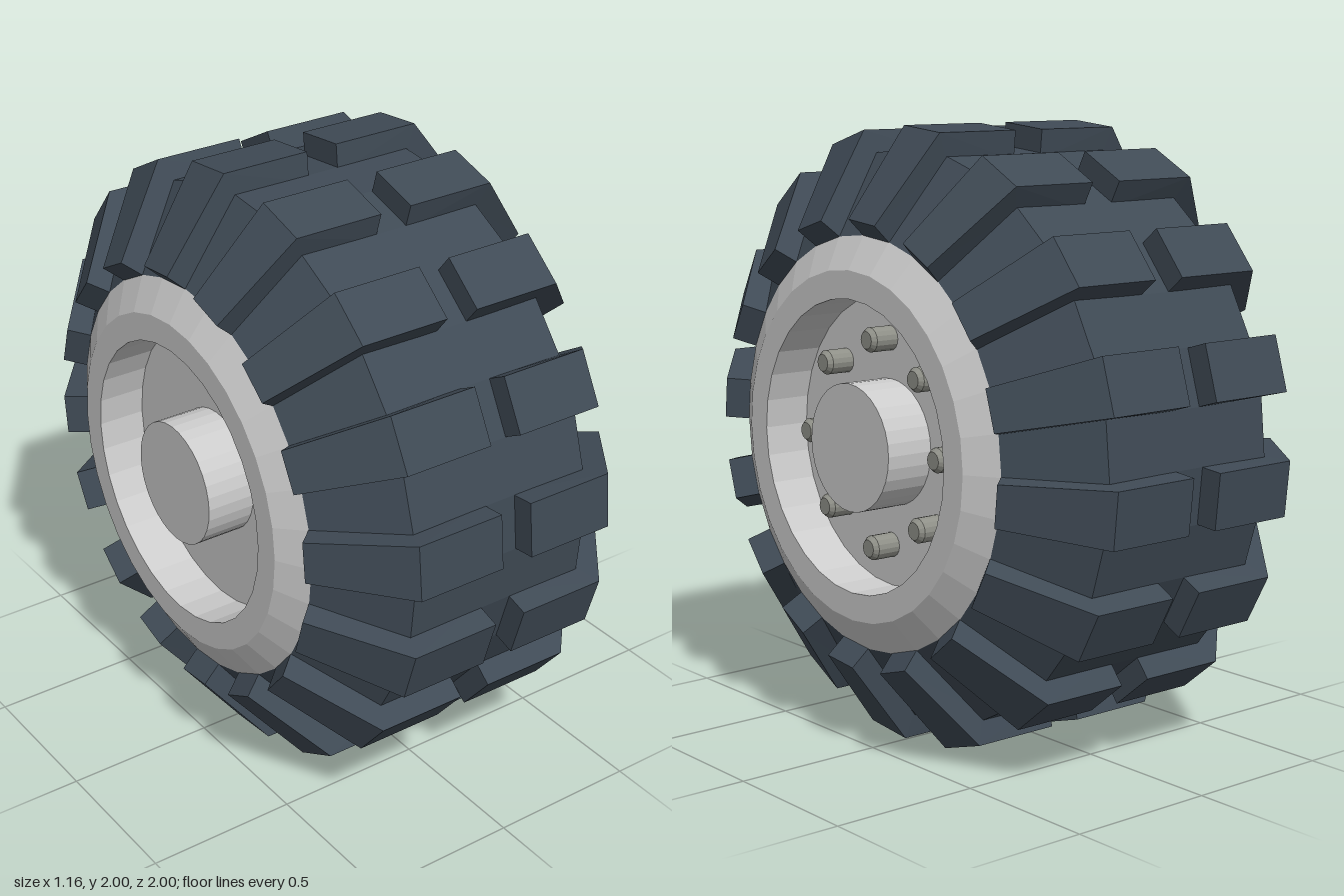
import * as THREE from 'three';

const flat = (color) => new THREE.MeshStandardMaterial({ color, flatShading: true });

// Revolves [radius, x] points around the wheel axis (x)
function turned(name, points, segments, material) {
  const geometry = new THREE.LatheGeometry(points.map(([r, x]) => new THREE.Vector2(r, x)), segments);
  geometry.rotateZ(-Math.PI / 2);
  const mesh = new THREE.Mesh(geometry, material);
  mesh.name = name;
  return mesh;
}

// Adds the mirror image of a half profile
const mirrored = (half) => [...half, ...half.map(([r, x]) => [r, -x]).reverse()];

// One tread lug: a bent slab that narrows towards the rim
function lugGeometry() {
  const outline = [[0.055, 0.9], [0.325, 0.9], [0.515, 0.66], [0.575, 0.715], [0.36, 0.996], [0.055, 0.996]];
  const shape = new THREE.Shape(outline.map(([x, r]) => new THREE.Vector2(x, r)));
  const geometry = new THREE.ExtrudeGeometry(shape, { depth: 1, bevelEnabled: false });
  const p = geometry.attributes.position;
  for (let i = 0; i < p.count; i++) {
    const along = (p.getX(i) * 0.6 - p.getY(i) * 0.8 + 0.581) / 0.354;
    const halfWidth = 0.09 - 0.023 * THREE.MathUtils.clamp(along, 0, 1);
    p.setZ(i, (p.getZ(i) - 0.5) * 2 * halfWidth);
  }
  geometry.computeVertexNormals();
  return geometry;
}

export function createModel() {
  const model = new THREE.Group();
  model.name = 'wheel';
  const rubber = flat(0x3f4a55);
  const metal = flat(0xcccccc);
  const boltMetal = flat(0x8f9088);

  const wheel = new THREE.Group();
  wheel.name = 'wheelAssembly';
  wheel.position.y = 1;
  model.add(wheel);

  // Tyre body with sloped shoulders
  wheel.add(turned('tyreBody', mirrored([[0.665, -0.515], [0.925, -0.325]]), 32, rubber));

  // Rim with a recessed dish and a hub on both sides
  wheel.add(turned('rim', mirrored([
    [0, -0.58], [0.205, -0.58], [0.205, -0.415], [0.47, -0.415],
    [0.47, -0.575], [0.56, -0.575], [0.665, -0.515],
  ]), 32, metal));

  // Paired tread lugs, centred on every second facet of the tyre
  const lug = lugGeometry();
  const treads = new THREE.Group();
  treads.name = 'treads';
  for (let i = 0; i < 16; i++) {
    for (const side of [1, -1]) {
      const mesh = new THREE.Mesh(lug, rubber);
      mesh.name = side > 0 ? 'leftLug' : 'rightLug';
      mesh.scale.x = side;
      mesh.rotation.x = ((i - 0.25) * Math.PI) / 8;
      treads.add(mesh);
    }
  }
  wheel.add(treads);

  // Ring of wheel bolts in the left dish only
  const bolts = new THREE.Group();
  bolts.name = 'bolts';
  for (let i = 0; i < 8; i++) {
    const a = (i * Math.PI) / 4;
    const bolt = turned('bolt', [[0.04, 0], [0.04, 0.085], [0.028, 0.1], [0, 0.1]], 16, boltMetal);
    bolt.position.set(0.41, 0.335 * Math.cos(a), 0.335 * Math.sin(a));
    bolts.add(bolt);
  }
  wheel.add(bolts);

  return model;
}
